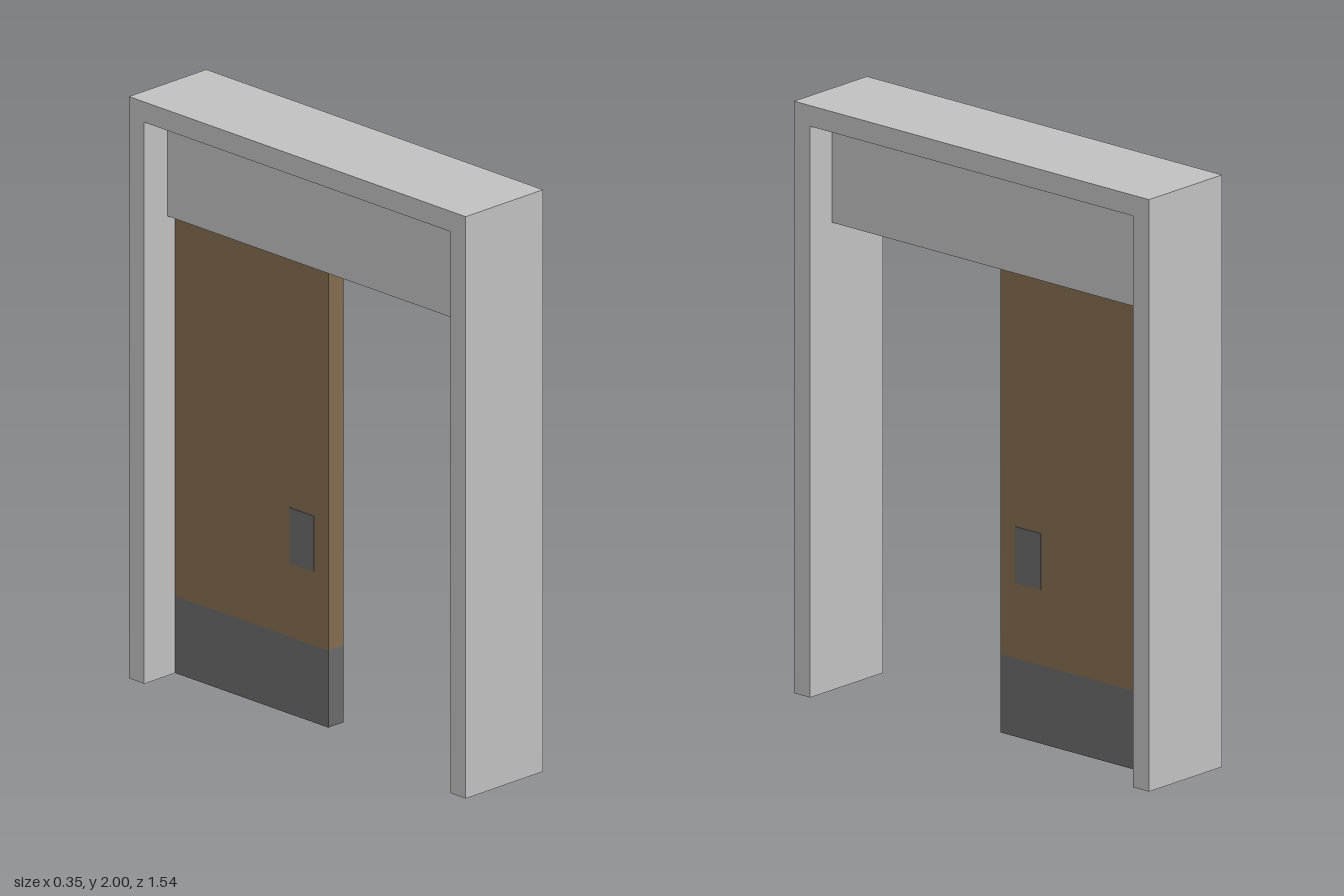
import * as THREE from 'three';

const paint = (name, color) => {
  const m = new THREE.MeshStandardMaterial({ color });
  m.name = name;
  return m;
};

export function createModel() {
  const grey = paint('light grey frame', 0xbfbfbf);
  const brown = paint('brown door', 0x836b50);
  const steel = paint('dark grey metal', 0x696969);

  const model = new THREE.Group();
  model.name = 'doorway';

  // box given by its limits on each axis
  const box = (name, material, [x0, x1], [y0, y1], [z0, z1], parent = model) => {
    const mesh = new THREE.Mesh(new THREE.BoxGeometry(x1 - x0, y1 - y0, z1 - z0), material);
    mesh.position.set((x0 + x1) / 2, (y0 + y1) / 2, (z0 + z1) / 2);
    mesh.name = name;
    parent.add(mesh);
    return mesh;
  };

  // surrounding frame: an upside-down U, extruded through the wall
  const outer = 0.77, inner = 0.70, top = 2, lintel = 1.93, depth = 0.35;
  const outline = new THREE.Shape([
    [-outer, 0], [-inner, 0], [-inner, lintel], [inner, lintel],
    [inner, 0], [outer, 0], [outer, top], [-outer, top],
  ].map(([z, y]) => new THREE.Vector2(z, y)));
  const frameGeo = new THREE.ExtrudeGeometry(outline, { depth, bevelEnabled: false });
  frameGeo.translate(0, 0, -depth / 2).rotateY(Math.PI / 2);
  const frame = new THREE.Mesh(frameGeo, grey);
  frame.name = 'frame';
  model.add(frame);

  // header panel between the jambs
  box('header', grey, [-0.07, 0.07], [1.58, lintel], [-inner, inner]);

  // half-width door leaf, its lower band clad in metal on the upright faces
  const door = new THREE.Group();
  door.name = 'door';
  model.add(door);
  const half = 0.035, kick = 0.265;
  box('doorLeaf', brown, [-half, half], [kick, 1.58], [-inner, 0], door);
  box('kickPlate', [steel, steel, brown, brown, steel, steel],
    [-half, half], [0, kick], [-inner, 0], door);

  // push plates on both faces
  for (const s of [-1, 1]) {
    const x = [s * half, s * (half + 0.003)].sort((a, b) => a - b);
    box('pushPlate', steel, x, [0.52, 0.71], [-0.175, -0.065], door);
  }

  return model;
}
